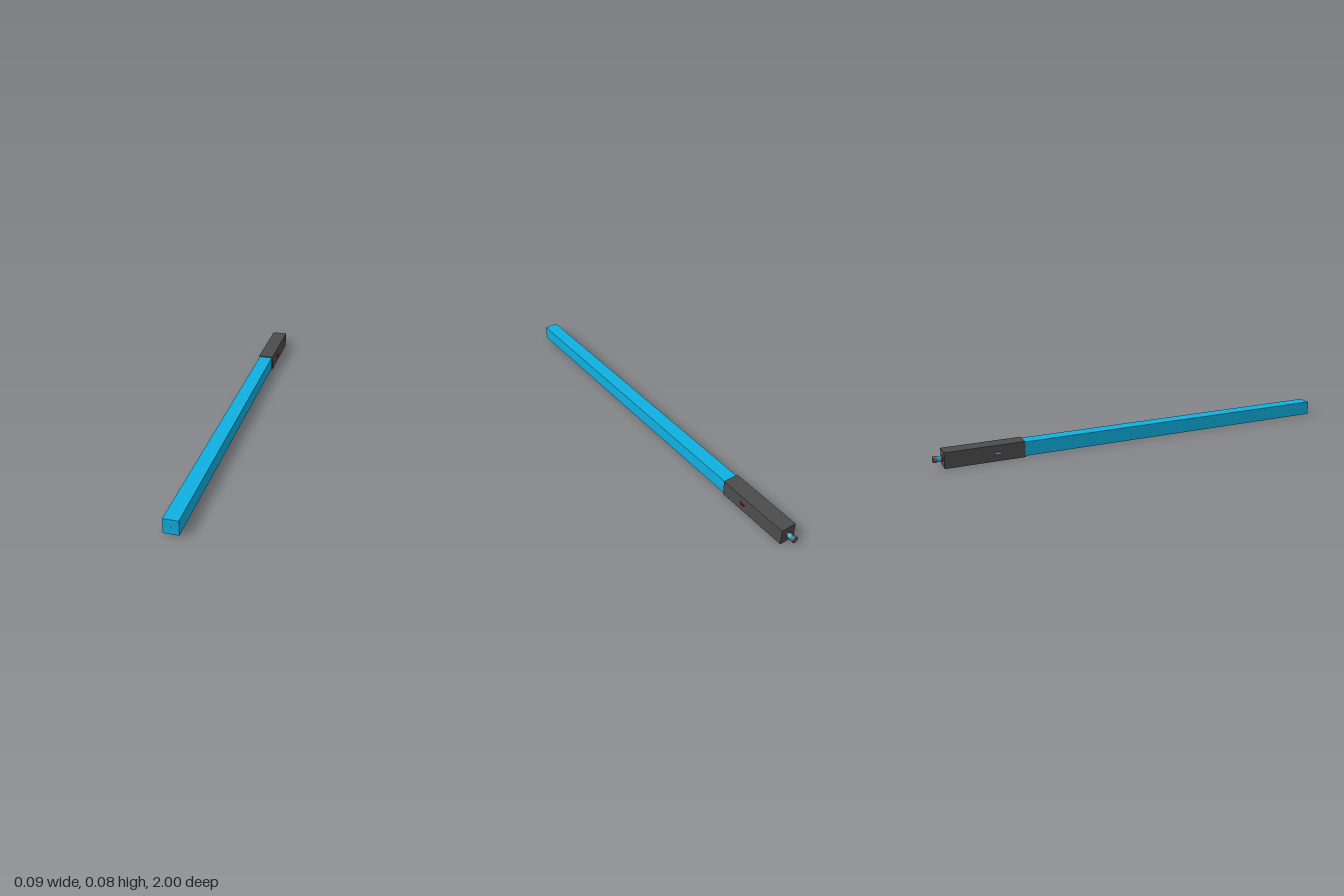
import * as THREE from 'three';

const CY = 0.038; // height of the long axis

export function createModel() {
  const group = new THREE.Group();
  const mat = (color) => new THREE.MeshStandardMaterial({ color });
  const blue = mat(0x0fb0e0), dark = mat(0x4c4c4c), red = mat(0xa01018), grey = mat(0xa0a0a0), steel = mat(0x606060);

  const add = (name, geometry, material, x, z) => {
    const mesh = new THREE.Mesh(geometry, material);
    mesh.name = name;
    mesh.position.set(x, CY, z);
    group.add(mesh);
    return mesh;
  };
  // Square bar between two z positions
  const bar = (name, size, z0, z1, material) =>
    add(name, new THREE.BoxGeometry(size, size, z1 - z0), material, 0, (z0 + z1) / 2);
  // Round rod between two z positions
  const rod = (name, radius, z0, z1, material) =>
    add(name, new THREE.CylinderGeometry(radius, radius, z1 - z0, 32).rotateX(Math.PI / 2), material, 0, (z0 + z1) / 2);

  // Blade and its tiny tip stud
  bar('blade', 0.067, -0.6, 0.998, blue);
  rod('tipStud', 0.002, 0.99, 1, blue);

  // Handle
  bar('handle', 0.075, -0.957, -0.59, dark);

  // Rounded side buttons, half sunk into the handle
  for (const [name, side, material] of [['redButton', 1, red], ['greyButton', -1, grey]]) {
    add(name, new THREE.CylinderGeometry(0.016, 0.016, 0.009, 24), material, side * 0.029, -0.715);
  }

  // Pommel: red collar, blue neck, grey end cap
  rod('pommelCollar', 0.013, -0.964, -0.955, red);
  rod('pommelNeck', 0.012, -0.985, -0.96, blue);
  rod('pommelCap', 0.015, -1, -0.982, steel);

  return group;
}
